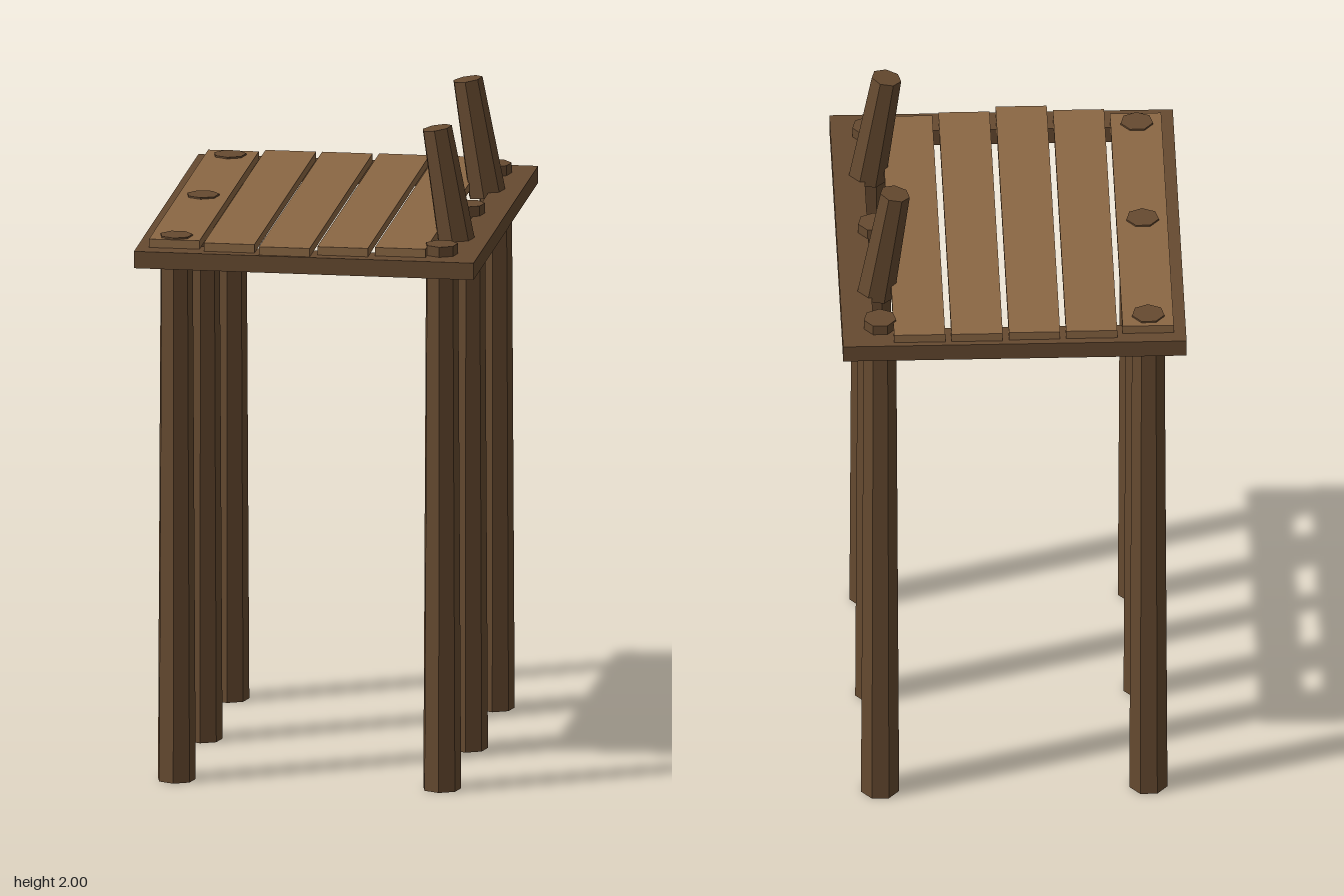
import * as THREE from 'three';

export function createModel() {
  const model = new THREE.Group();
  const darkWood = new THREE.MeshStandardMaterial({ color: 0x664a30, flatShading: true });
  const lightWood = new THREE.MeshStandardMaterial({ color: 0x8b6744, flatShading: true });

  function add(name, geometry, material, x = 0, y = 0, z = 0) {
    const mesh = new THREE.Mesh(geometry, material);
    mesh.name = name;
    mesh.position.set(x, y, z);
    model.add(mesh);
    return mesh;
  }

  // Rectangular frame with an open middle
  const outline = new THREE.Shape([[-0.517, -0.645], [0.517, -0.645], [0.517, 0.645], [-0.517, 0.645]]
    .map(([x, y]) => new THREE.Vector2(x, y)));
  outline.holes.push(new THREE.Path([[-0.422, -0.55], [-0.422, 0.55], [0.422, 0.55], [0.422, -0.55]]
    .map(([x, y]) => new THREE.Vector2(x, y))));
  const frame = new THREE.ExtrudeGeometry(outline, { depth: 0.052, bevelEnabled: false });
  frame.rotateX(-Math.PI / 2);
  add('frame', frame, darkWood, 0, 1.602, 0);

  // Deck planks of uneven length: centre x, back z, front z
  const planks = [
    [-0.403, -0.597, 0.587],
    [-0.232, -0.62, 0.612],
    [-0.06, -0.622, 0.637],
    [0.113, -0.626, 0.61],
    [0.286, -0.626, 0.594],
  ];
  for (const [x, back, front] of planks) {
    add('plank', new THREE.BoxGeometry(0.154, 0.026, front - back), lightWood, x, 1.667, (back + front) / 2);
  }

  // Six tapered legs whose tops poke through the deck
  const leg = new THREE.CylinderGeometry(0.05, 0.059, 1.685, 7);
  for (const x of [-0.405, 0.403]) {
    for (const z of [-0.535, 0, 0.535]) add('leg', leg, darkWood, x, 0.8425, z);
  }

  // Two leaning mooring posts on the open edge
  const post = new THREE.CylinderGeometry(0.046, 0.058, 0.36, 7);
  post.translate(0, 0.18, 0);
  for (const [x, z] of [[0.41, -0.323], [0.415, 0.323]]) {
    add('post', post, darkWood, x, 1.637, z).rotation.z = 0.165;
  }

  return model;
}
